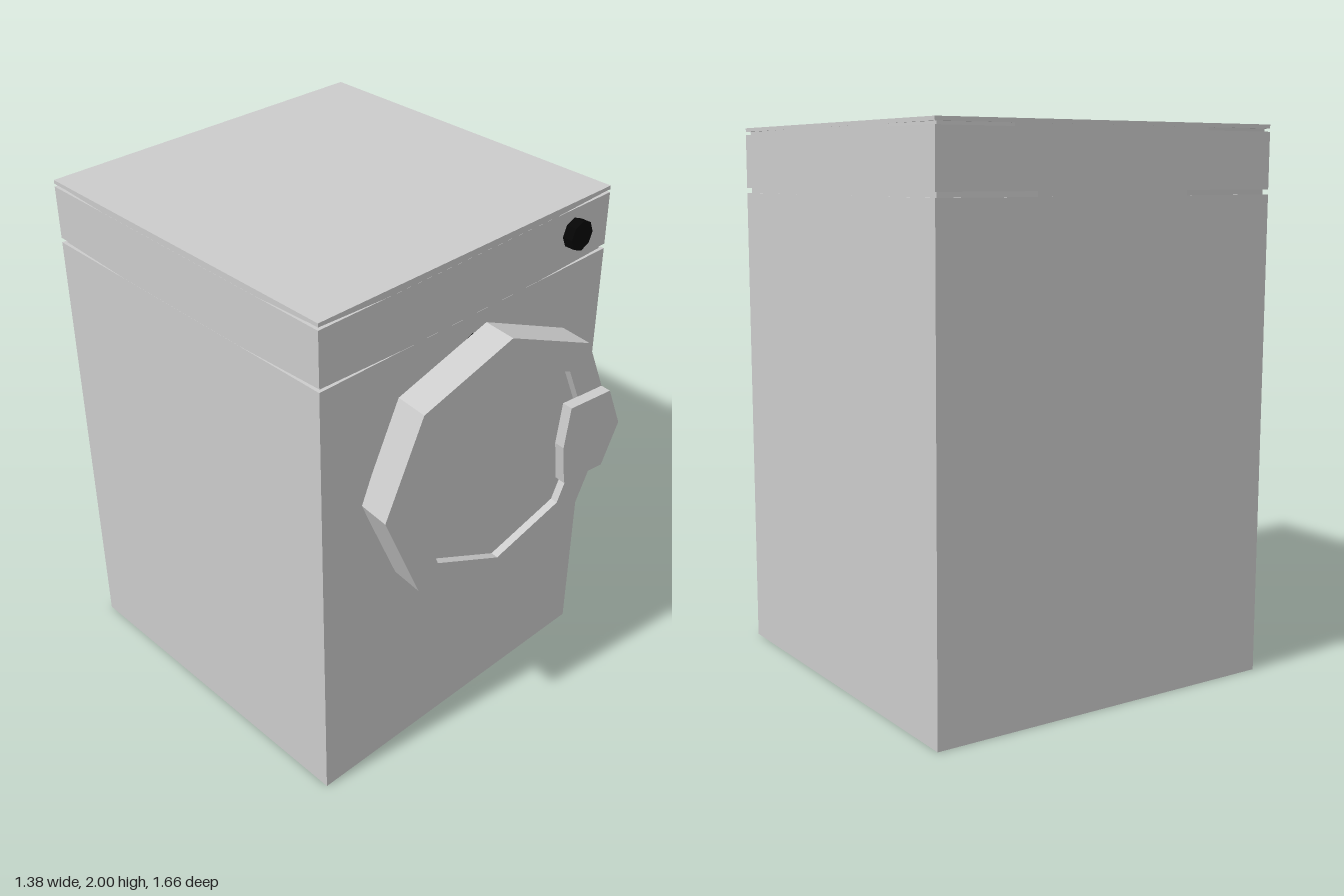
import * as THREE from 'three';

const grey = new THREE.MeshStandardMaterial({ color: 0xcccccc, flatShading: true });
const black = new THREE.MeshStandardMaterial({ color: 0x050505, flatShading: true });

const W = 0.69, DOOR_Y = 1.23, BODY_Z = -0.14, FRONT = 0.55;

function add(parent, name, geometry, material = grey) {
  const mesh = new THREE.Mesh(geometry, material);
  mesh.name = name;
  parent.add(mesh);
  return mesh;
}

// Corner points of a regular octagon with a corner pointing up
function octagon(r) {
  return Array.from({ length: 8 }, (_, i) => {
    const a = (i * Math.PI) / 4;
    return new THREE.Vector2(r * Math.cos(a), r * Math.sin(a));
  });
}

function extrude(shape, depth) {
  return new THREE.ExtrudeGeometry(shape, { depth, bevelEnabled: false });
}

// Box section of the cabinet between two heights
function section(parent, name, y0, y1) {
  const mesh = add(parent, name, new THREE.BoxGeometry(2 * W, y1 - y0, 2 * W));
  mesh.position.set(0, (y0 + y1) / 2, BODY_Z);
}

// Seam whose corners are set back, fading out to flush along each side
function seam(parent, name, y0, y1, flush) {
  const c = W - 0.014, e = W - 0.0005;
  const pts = [];
  for (let i = 0; i < 4; i++) {
    const a = (i * Math.PI) / 2;
    for (const [x, y] of [[e, -flush], [e, flush], [c, c]]) {
      pts.push(new THREE.Vector2(x, y).rotateAround(new THREE.Vector2(), a));
    }
  }
  const geo = extrude(new THREE.Shape(pts), y1 - y0).rotateX(-Math.PI / 2);
  add(parent, name, geo).position.set(0, y0, BODY_Z);
}

// Disc with eight sides facing the front
function disc(parent, name, r, depth, x, y, z, material) {
  const geo = extrude(new THREE.Shape(octagon(r)), depth);
  return add(parent, name, geo, material).position.set(x, y, z);
}

export function createModel() {
  const model = new THREE.Group();
  model.name = 'washingMachine';

  // Cabinet
  section(model, 'cabinet', 0, 1.757);
  seam(model, 'lowerSeam', 1.757, 1.775, 0.31);
  section(model, 'controlPanel', 1.775, 1.975);
  seam(model, 'upperSeam', 1.975, 1.986, 0.4);
  section(model, 'lid', 1.986, 2);

  // Control knob and dark drum opening
  disc(model, 'knob', 0.056, 0.04, 0.5, 1.885, FRONT, black);
  disc(model, 'drumOpening', 0.455, 0.004, 0, DOOR_Y, FRONT - 0.001, black);

  // Door standing slightly ajar, hinged on the -x side
  const door = new THREE.Group();
  door.name = 'door';
  door.position.set(0.005, DOOR_Y, 0.603);
  door.rotation.y = -0.112;
  model.add(door);

  const ring = new THREE.Shape(octagon(0.518));
  ring.holes.push(new THREE.Path(octagon(0.4)));
  add(door, 'doorRing', extrude(ring, 0.13));
  disc(door, 'doorWindow', 0.402, 0.015, 0, 0, 0.085, grey);

  // Handle plate following the door's outer edge
  const handle = new THREE.Shape([
    [0.265, -0.16], [0.452, -0.16], [0.518, 0], [0.452, 0.16], [0.265, 0.16], [0.245, 0],
  ].map(([x, y]) => new THREE.Vector2(x, y)));
  add(door, 'doorHandle', extrude(handle, 0.042)).position.z = 0.129;

  return model;
}
